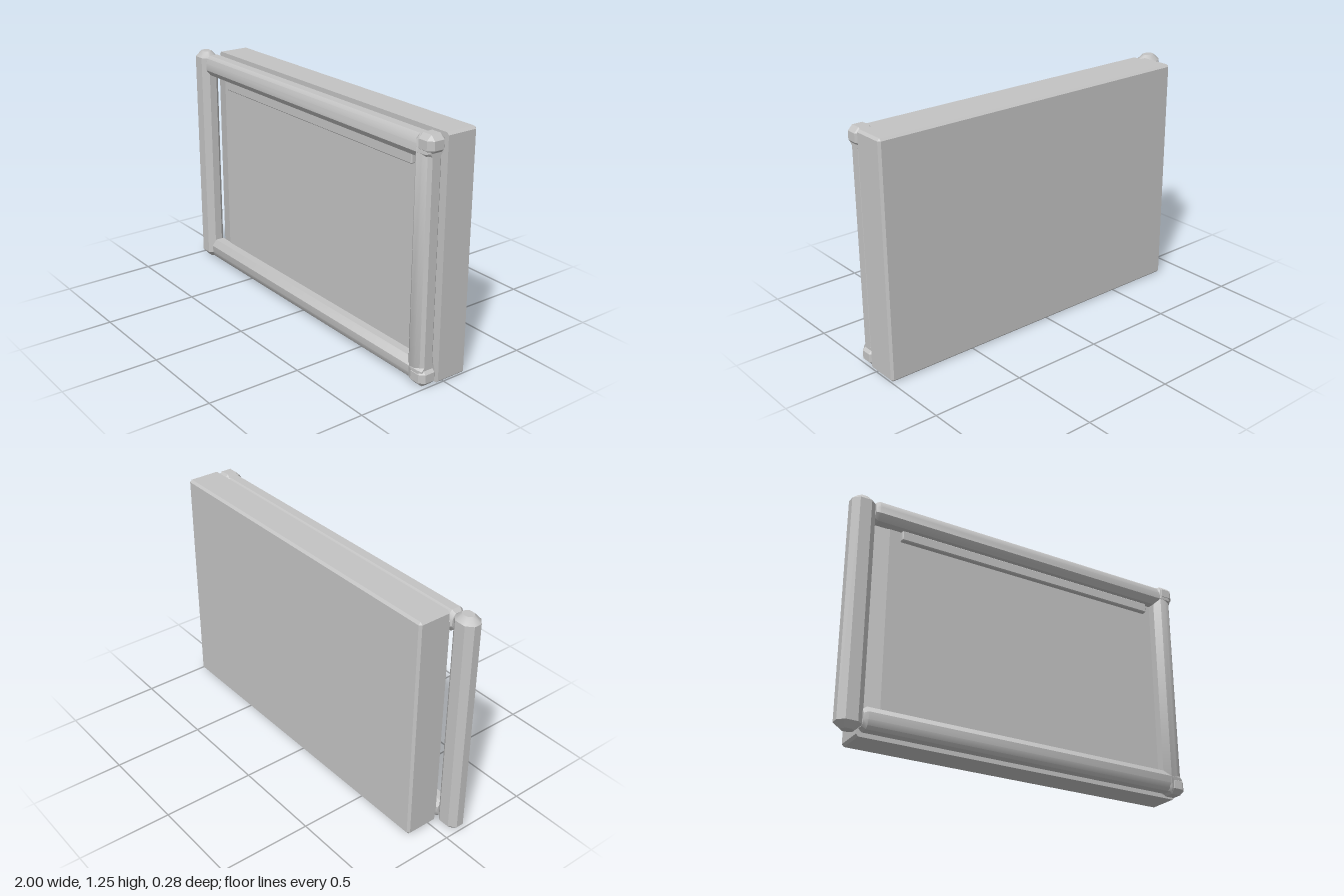
import * as THREE from 'three';
import { ConvexGeometry } from 'three/addons/geometries/ConvexGeometry.js';
import { toCreasedNormals } from 'three/addons/utils/BufferGeometryUtils.js';

const vec = (x, y, z) => new THREE.Vector3(x, y, z);
const signs = [[-1, -1], [-1, 1], [1, -1], [1, 1]];

// Box between two corners with every edge cut at 45 degrees
function chamferBox([x0, y0, z0], [x1, y1, z1], c) {
  const a = (x1 - x0) / 2, b = (y1 - y0) / 2, d = (z1 - z0) / 2;
  const points = [];
  for (const [sx, sy] of signs) for (const sz of [-1, 1]) {
    points.push(
      vec(sx * a, sy * (b - c), sz * (d - c)),
      vec(sx * (a - c), sy * b, sz * (d - c)),
      vec(sx * (a - c), sy * (b - c), sz * d));
  }
  return new ConvexGeometry(points).translate((x0 + x1) / 2, (y0 + y1) / 2, (z0 + z1) / 2);
}

// Slab with chamfered sides and back but a square front
function slabGeometry(a, b, back, front, c) {
  const points = [];
  for (const [sx, sy] of signs) {
    points.push(vec(sx * (a - c), sy * (b - c), back));
    for (const z of [back + c, front]) {
      points.push(vec(sx * a, sy * (b - c), z), vec(sx * (a - c), sy * b, z));
    }
  }
  return new ConvexGeometry(points);
}

// Bar section: u runs from the inner to the outer side, v is half the thickness.
const frameSection = [[0, 0.024], [0.033, 0.051], [0.07, 0.049], [0.097, 0.04], [0.112, 0.024]];
const sideSection = [[0, 0.021], [0.034, 0.051], [0.096, 0.051], [0.129, 0.021]];

// Bar swept from t0 to t1 with ends tapered over a short length
function barGeometry(section, place, t0, t1, taper, endScale) {
  const middle = section[section.length - 1][0] / 2;
  const points = [];
  for (const [t, s] of [[t0, endScale], [t0 + taper, 1], [t1 - taper, 1], [t1, endScale]]) {
    for (const [u, v] of section) for (const side of [-1, 1]) {
      points.push(place(middle + (u - middle) * s, side * v * s, t));
    }
  }
  return toCreasedNormals(new ConvexGeometry(points), 0.6);
}

export function createModel() {
  const group = new THREE.Group();
  const grey = new THREE.MeshStandardMaterial({ color: 0xc4c4c4 });
  grey.name = 'plain grey';

  const add = (name, geometry) => {
    const mesh = new THREE.Mesh(geometry, grey);
    mesh.name = name;
    group.add(mesh);
  };

  // Thick backing slab
  add('backSlab', slabGeometry(0.935, 0.625, -0.14, 0.036, 0.012).translate(0.065, 0.625, 0));

  // Raised front panel, sloping down along its right-hand edge
  const panelPoints = [];
  for (const y of [0.06, 1.19]) {
    for (const [x, z] of [[-0.868, 0.03], [-0.868, 0.044], [-0.77, 0.07], [0.93, 0.07], [0.93, 0.03]]) {
      panelPoints.push(vec(x, y, z));
    }
  }
  add('frontPanel', new ConvexGeometry(panelPoints));

  // Narrow rail under the top bar
  add('panelRail', chamferBox([-0.71, 1.07, 0.05], [0.83, 1.125, 0.097], 0.005));

  // Frame bars, rounded towards the outside with a flat outer strip
  const z = 0.089;
  const frame = (name, place, t0, t1) => add(name, barGeometry(frameSection, place, t0, t1, 0.02, 0.75));
  frame('topBar', (u, v, t) => vec(t, 1.127 + u, z + v), -0.875, 0.985);
  frame('bottomBar', (u, v, t) => vec(t, 0.123 - u, z + v), -0.875, 0.985);
  frame('leftBar', (u, v, t) => vec(0.873 + u, t, z + v), 0.012, 1.238);

  // Separate upright bar beside the slab
  add('detachedSideBar',
    barGeometry(sideSection, (u, v, t) => vec(-0.871 - u, t, 0.087 + v), 0, 1.25, 0.032, 0.48));

  // Corner joints where the bars meet
  for (const [name, y] of [['topCorner', 1.155], ['bottomCorner', 0]]) {
    add(name, chamferBox([0.895, y, 0.037], [1, y + 0.095, 0.141], 0.025));
  }
  return group;
}
